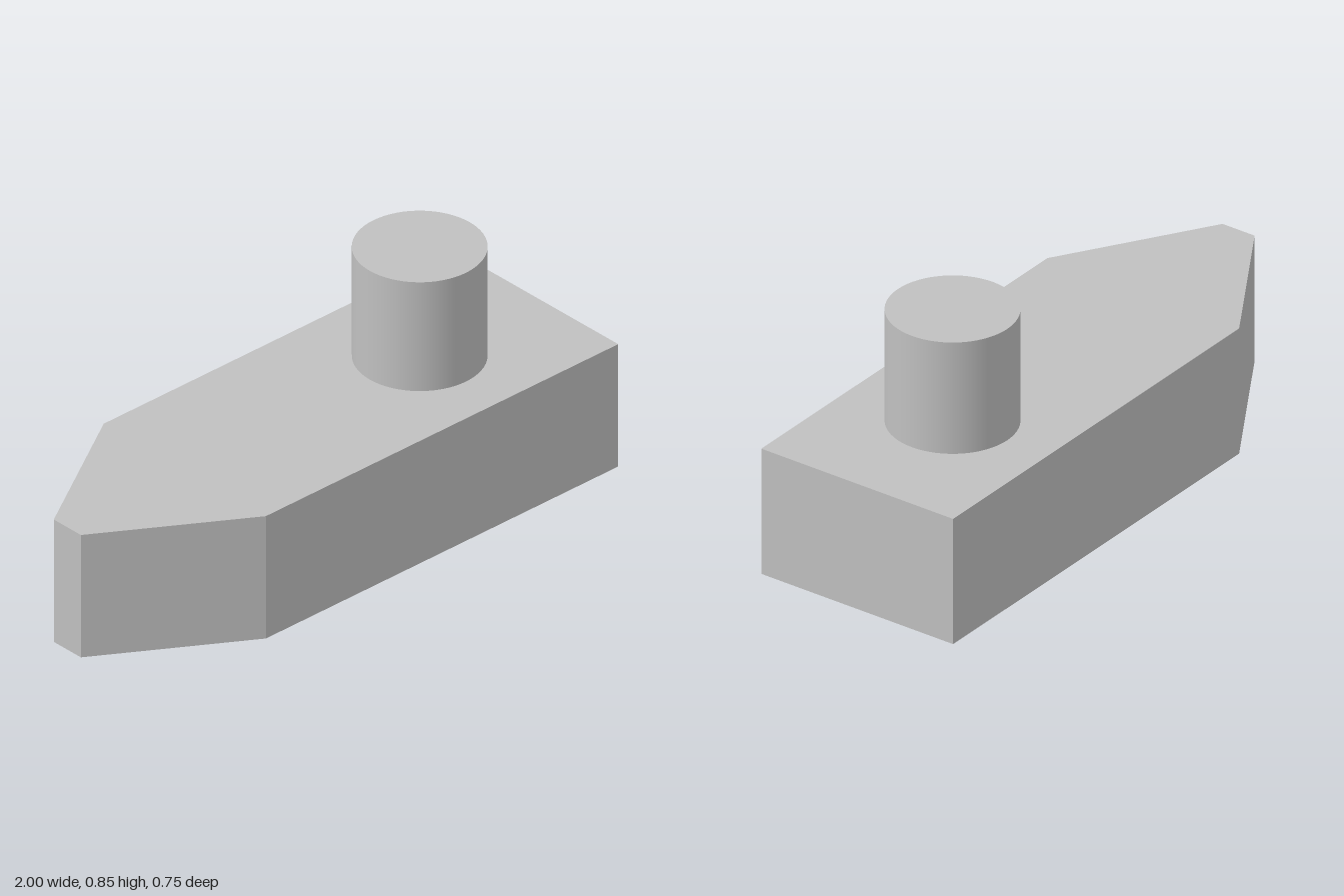
import * as THREE from 'three';

export function createModel() {
  const group = new THREE.Group();
  group.name = 'boat';

  const grey = new THREE.MeshStandardMaterial({ color: 0xc0c0c0 });
  grey.name = 'light grey';

  const hullHeight = 0.45;
  const halfWidth = 0.373;
  const bowHalfWidth = 0.0625;

  // Hull: plan outline with a tapered, blunt bow, extruded upward
  const outline = new THREE.Shape([
    new THREE.Vector2(-1, -bowHalfWidth),
    new THREE.Vector2(-0.5, -halfWidth),
    new THREE.Vector2(1, -halfWidth),
    new THREE.Vector2(1, halfWidth),
    new THREE.Vector2(-0.5, halfWidth),
    new THREE.Vector2(-1, bowHalfWidth),
  ]);
  const hullGeometry = new THREE.ExtrudeGeometry(outline, { depth: hullHeight, bevelEnabled: false });
  hullGeometry.rotateX(-Math.PI / 2);
  const hull = new THREE.Mesh(hullGeometry, grey);
  hull.name = 'hull';
  group.add(hull);

  // Funnel: smooth upright cylinder standing on the deck near the stern
  const funnelHeight = 0.4;
  const funnel = new THREE.Mesh(new THREE.CylinderGeometry(0.2125, 0.2125, funnelHeight, 64), grey);
  funnel.name = 'funnel';
  funnel.position.set(0.5, hullHeight + funnelHeight / 2, 0);
  group.add(funnel);

  return group;
}
